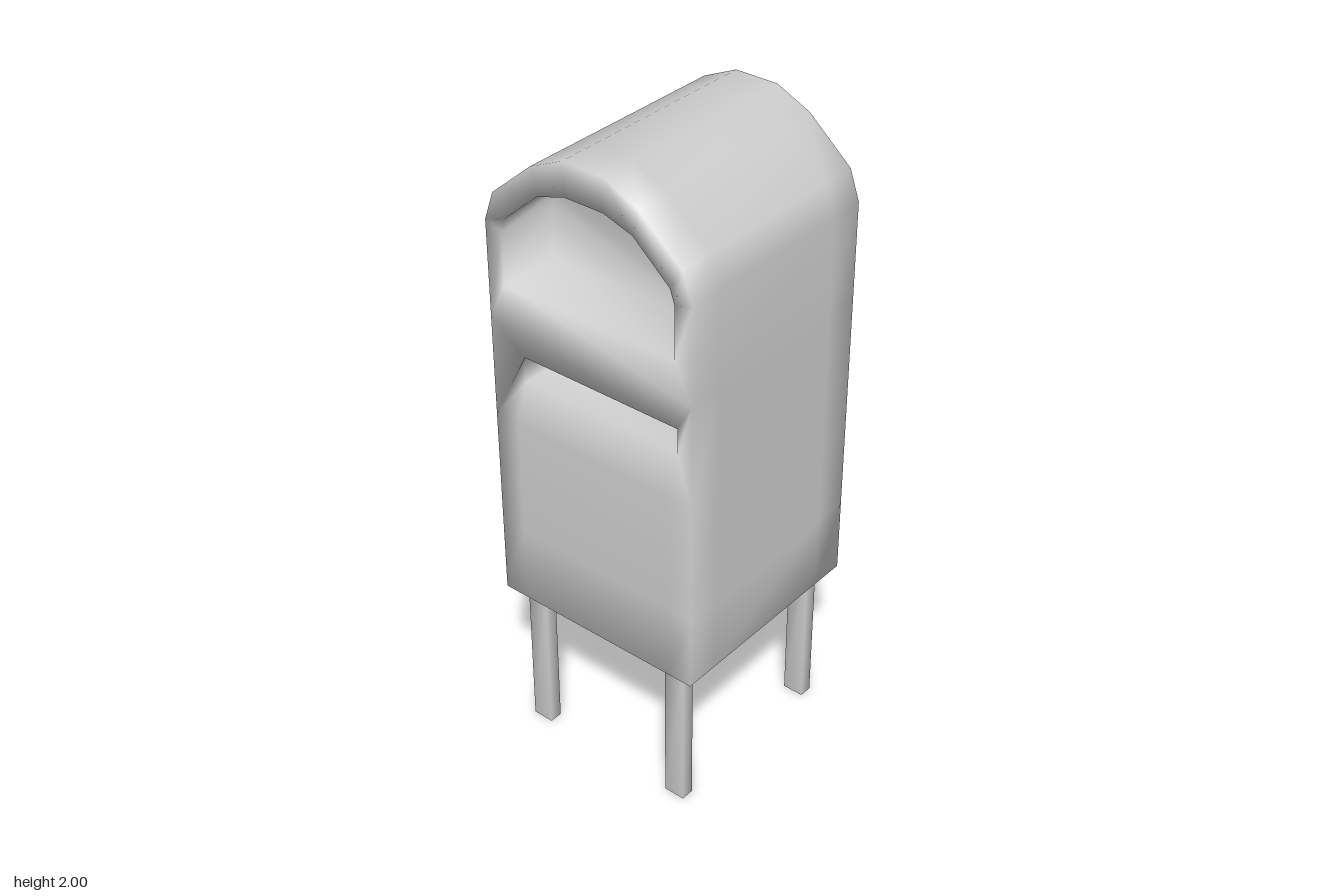
import * as THREE from 'three';
import { mergeVertices } from 'three/addons/utils/BufferGeometryUtils.js';

const material = new THREE.MeshStandardMaterial({ color: 0xcccccc });
const FRONT = 0.352, INNER = 0.77;

// Weld shared corners so the shading runs smoothly over every edge
function smooth(geometry) {
  geometry.deleteAttribute('normal');
  geometry.deleteAttribute('uv');
  const welded = mergeVertices(geometry);
  welded.computeVertexNormals();
  return welded;
}

// Mirror a right-hand profile (bottom to top) into a full counter-clockwise arch
const arch = (half) => [...half, ...half.map(([x, y]) => [-x, y]).reverse()];
const atZ = (points, z) => points.map(([x, y]) => [x, y, z]);

function buildBody() {
  const positions = [];
  const quad = (a, b, c, d) => positions.push(...a, ...b, ...c, ...a, ...c, ...d);

  // Skin between two matching loops
  const bridge = (a, b, closed = true) => {
    for (let i = 0; i < a.length - (closed ? 0 : 1); i++) {
      const j = (i + 1) % a.length;
      quad(a[i], b[i], b[j], a[j]);
    }
  };
  // Flat cap facing forward
  const cap = (loop) => {
    for (let i = 1; i < loop.length - 1; i++) positions.push(...loop[0], ...loop[i], ...loop[i + 1]);
  };
  // Three-column wall that follows the profile
  const panel = (profile, z, facing) => {
    const rows = profile.map(([x, y]) => [-x, -x * INNER, x * INNER, x].map((c) => [c * facing, y, z]));
    for (let r = 0; r < rows.length - 1; r++) {
      for (let c = 0; c < 3; c++) quad(rows[r][c], rows[r][c + 1], rows[r + 1][c + 1], rows[r + 1][c]);
    }
  };

  const half = [[0.352, 0.5], [0.352, 0.74], [0.352, 1.12], [0.352, 1.44],
    [0.352, 1.74], [0.32, 1.83], [0.18, 1.95], [0.07, 2]];

  // Sides and arched roof
  const outline = arch(half);
  const depths = [FRONT, 0.24, -0.24, -FRONT];
  for (let i = 0; i < 3; i++) bridge(atZ(outline, depths[i]), atZ(outline, depths[i + 1]), false);

  // Back wall and lower front
  panel(half, -FRONT, -1);
  panel(half.slice(0, 3), FRONT, 1);

  // Underside
  const columns = [-1, -INNER, INNER, 1].map((c) => c * 0.352);
  for (let i = 0; i < 3; i++) {
    for (let k = 0; k < 3; k++) {
      const corner = (a, b) => [columns[a], 0.5, depths[b]];
      quad(corner(i, k), corner(i, k + 1), corner(i + 1, k + 1), corner(i + 1, k));
    }
  }

  // Arched opening with its recess
  const opening = arch([[0.295, 1.56], [0.295, 1.72], [0.28, 1.765], [0.16, 1.87], [0.065, 1.9]]);
  const rim = atZ(opening, FRONT), recess = atZ(opening, FRONT - 0.2);
  bridge(rim, atZ(arch(half.slice(3)), FRONT));
  bridge(recess, rim);
  cap(recess);

  // Dent in the front that funnels into a narrow slot
  const c = 0.352 * INNER;
  const dent = [[-0.352, 1.12], [-c, 1.12], [c, 1.12], [0.352, 1.12], [0.352, 1.44], [-0.352, 1.44]];
  const slot = [[-c, 1.24], [-c, 1.24], [c, 1.24], [c, 1.24], [c, 1.32], [-c, 1.32]];
  const slotRim = atZ(slot, FRONT - 0.04), slotBack = atZ(slot, FRONT - 0.14);
  bridge(slotRim, atZ(dent, FRONT));
  bridge(slotBack, slotRim);
  cap(slotBack);

  const geometry = new THREE.BufferGeometry();
  geometry.setAttribute('position', new THREE.Float32BufferAttribute(positions, 3));
  return smooth(geometry);
}

export function createModel() {
  const model = new THREE.Group();
  model.name = 'mailbox';

  const body = new THREE.Mesh(buildBody(), material);
  body.name = 'body';
  model.add(body);

  // Four legs
  const legGeometry = smooth(new THREE.BoxGeometry(0.068, 0.5, 0.042));
  for (const x of [-1, 1]) {
    for (const z of [-1, 1]) {
      const leg = new THREE.Mesh(legGeometry, material);
      leg.name = `${z > 0 ? 'front' : 'back'}${x > 0 ? 'Left' : 'Right'}Leg`;
      leg.position.set(x * 0.264, 0.25, z * 0.295);
      model.add(leg);
    }
  }
  return model;
}
